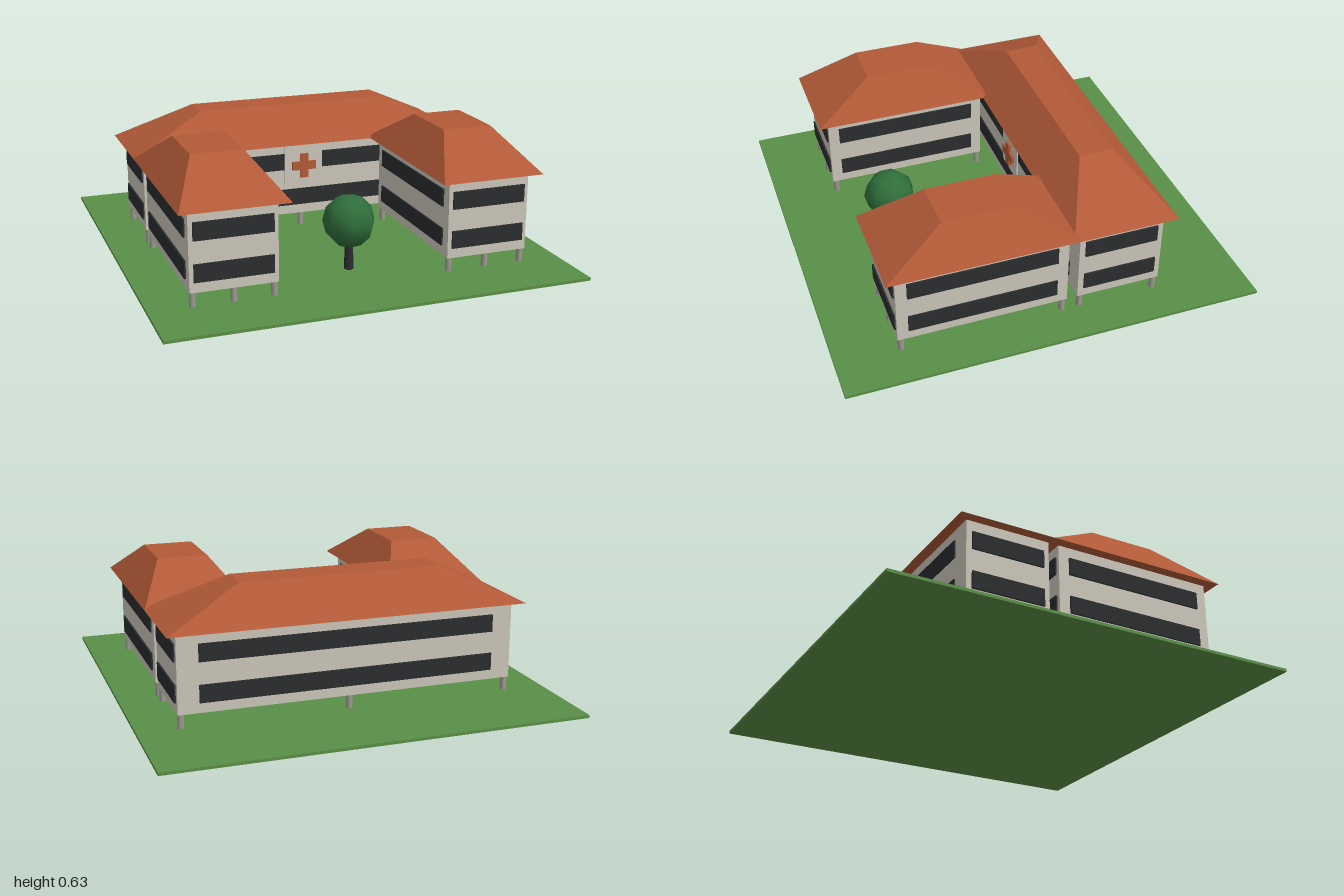
import * as THREE from 'three';

const mat = (name, color) => {
  const m = new THREE.MeshStandardMaterial({ color });
  m.name = name;
  return m;
};

export function createModel() {
  const wall = mat('wall', 0xcbc6ba);
  const roofRed = mat('roof tile', 0xb25a38);
  const dark = mat('dark glass and bark', 0x2b2d2e);
  const grass = mat('grass', 0x5a8f47);
  const leaf = mat('leaves', 0x2f6e3b);
  const concrete = mat('concrete', 0x9c9990);

  const model = new THREE.Group();
  model.name = 'courtyardBuilding';

  const add = (parent, name, geometry, material, x, y, z) => {
    const m = new THREE.Mesh(geometry, material);
    m.name = name;
    m.position.set(x, y, z);
    parent.add(m);
    return m;
  };
  const box = (parent, name, material, w, h, d, x, y, z) =>
    add(parent, name, new THREE.BoxGeometry(w, h, d), material, x, y, z);

  // hipped roof with a flat top: a box whose upper corners move inwards
  const hipRoof = (w, d, topW, topD, h) => {
    const g = new THREE.BoxGeometry(w, h, d);
    const p = g.attributes.position;
    for (let i = 0; i < p.count; i++) {
      if (p.getY(i) > 0) {
        p.setX(i, Math.sign(p.getX(i)) * topW / 2);
        p.setZ(i, Math.sign(p.getZ(i)) * topD / 2);
      }
    }
    g.computeVertexNormals();
    return g;
  };

  const floorY = 0.08, eaveY = 0.455, ridgeY = 0.63, eave = 0.05;

  // one block: walls, window bands on all sides, roof and stilts
  const block = (name, x, z, w, d, topW, topD, bandX, bandZ) => {
    const g = new THREE.Group();
    g.name = name;
    g.position.set(x, 0, z);
    model.add(g);
    box(g, 'walls', wall, w, eaveY - floorY, d, 0, (eaveY + floorY) / 2, 0);
    for (const y of [0.17, 0.36]) {
      for (const s of [-1, 1]) {
        box(g, 'windowBand', dark, bandX, 0.084, 0.009, 0, y, s * (d / 2 + 0.0035));
        box(g, 'windowBand', dark, 0.009, 0.084, bandZ, s * (w / 2 + 0.0035), y, 0);
      }
    }
    add(g, 'roof', hipRoof(w + 2 * eave, d + 2 * eave, topW, topD, ridgeY - eaveY),
      roofRed, 0, (eaveY + ridgeY) / 2, 0);
    for (const px of [-1, 0, 1]) {
      for (const pz of [-1, 1]) {
        add(g, 'stilt', new THREE.CylinderGeometry(0.015, 0.015, 0.08, 12), concrete,
          px * (w / 2 - 0.016), 0.045, pz * (d / 2 - 0.018));
      }
    }
  };

  // lawn
  box(model, 'lawn', grass, 2, 0.014, 2, 0, 0.007, 0);

  // main block and two wings
  block('mainBlock', 0, -0.357, 1.63, 0.41, 0.98, 0.165, 1.43, 0.355);
  for (const s of [-1, 1]) {
    block(s > 0 ? 'leftWing' : 'rightWing', s * 0.6125, 0.305, 0.405, 0.81,
      0.245, 0.33, 0.365, 0.705);
  }

  // sign panel with a cross over the entrance
  box(model, 'signPanel', wall, 0.2, 0.205, 0.006, 0, 0.3525, -0.12);
  box(model, 'crossUpright', roofRed, 0.042, 0.125, 0.014, 0, 0.345, -0.109);
  for (const s of [-1, 1]) {
    box(model, 'crossArm', roofRed, 0.0415, 0.042, 0.014, s * 0.0417, 0.345, -0.109);
  }

  // courtyard tree
  const tree = new THREE.Group();
  tree.name = 'tree';
  tree.position.set(0, 0, 0.51);
  model.add(tree);
  add(tree, 'trunk', new THREE.CylinderGeometry(0.019, 0.023, 0.18, 7), dark, 0, 0.1, 0);
  const crown = add(tree, 'crown', new THREE.SphereGeometry(0.126, 7, 6), leaf, 0, 0.25, 0);
  crown.rotation.y = Math.PI;

  return model;
}
